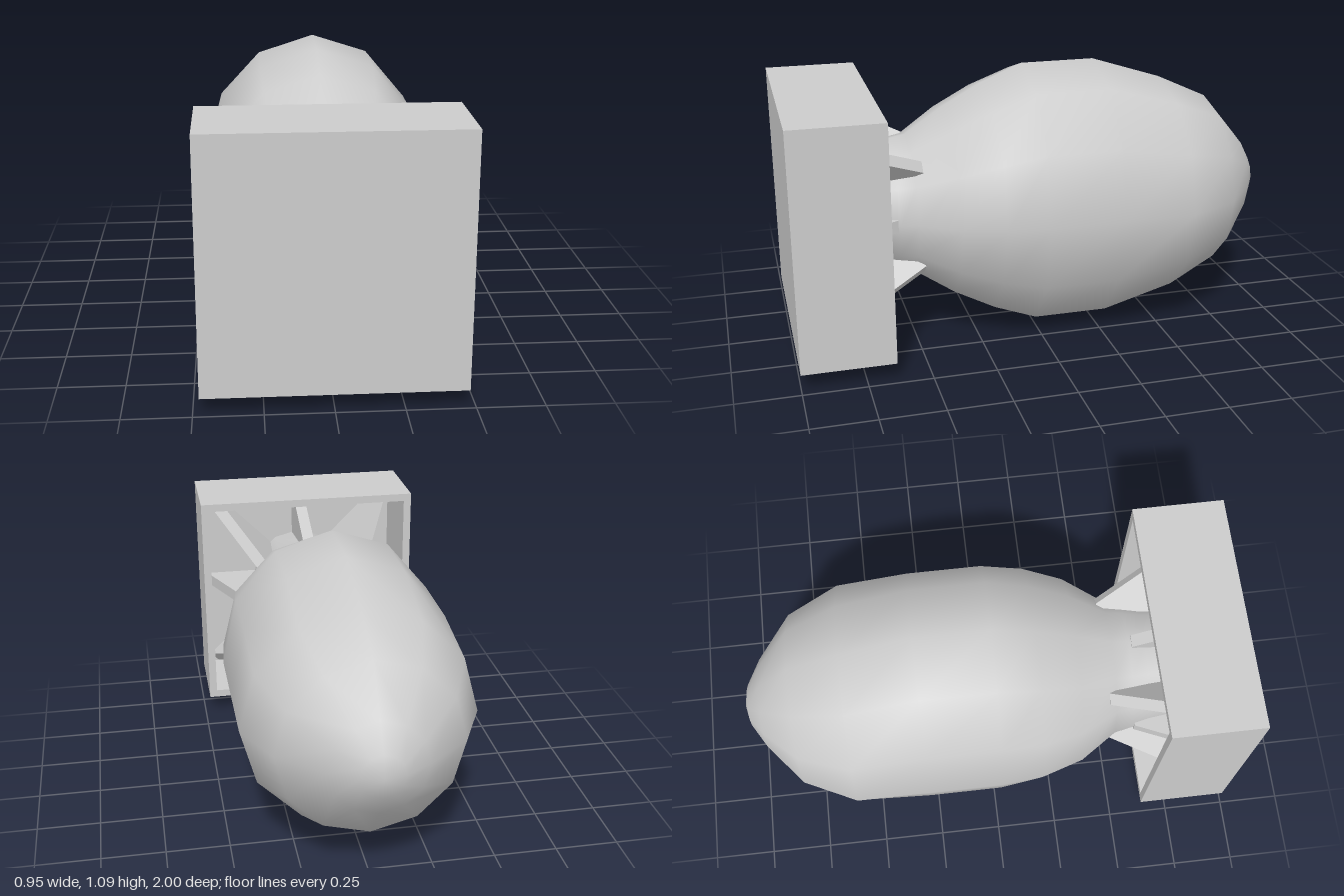
import * as THREE from 'three';
import { mergeVertices } from 'three/addons/utils/BufferGeometryUtils.js';

const CENTER_Y = 0.5475;

export function createModel() {
  const model = new THREE.Group();
  const material = new THREE.MeshStandardMaterial({ color: 0xcccccc });
  const add = (name, geometry, parent = model) => {
    const mesh = new THREE.Mesh(geometry, material);
    mesh.name = name;
    parent.add(mesh);
    return mesh;
  };

  // Body: 12-sided rings [z, half height, half width], nose to tail
  const rings = [
    [-1, 0, 0], [-0.98, 0.085, 0.085], [-0.92, 0.185, 0.185], [-0.78, 0.355, 0.355],
    [-0.57, 0.452, 0.455], [-0.28, 0.5455, 0.455], [0.02, 0.5455, 0.455],
    [0.19, 0.475, 0.438], [0.35, 0.387, 0.387], [0.5, 0.286, 0.286],
    [0.57, 0.272, 0.272], [0.64, 0.256, 0.256], [0.97, 0.215, 0.215],
  ];
  const lathe = new THREE.LatheGeometry(rings.map(([z, h]) => new THREE.Vector2(h, z)), 12);
  const pos = lathe.attributes.position;
  for (let i = 0; i < pos.count; i++) {
    const [, h, w] = rings[i % rings.length];
    if (h > 0) pos.setX(i, pos.getX(i) * w / h);
  }
  lathe.deleteAttribute('normal');
  lathe.deleteAttribute('uv');
  const body = mergeVertices(lathe, 1e-4);
  body.rotateX(Math.PI / 2);
  body.computeVertexNormals();
  add('body', body).position.y = CENTER_Y;

  // Square tail box, open toward the body
  const tailBox = new THREE.Group();
  tailBox.name = 'tailBox';
  tailBox.position.y = CENTER_Y;
  model.add(tailBox);
  const square = (path, s) => path.moveTo(-s, -s).lineTo(s, -s).lineTo(s, s).lineTo(-s, s).closePath();
  const frame = square(new THREE.Shape(), 0.476);
  frame.holes.push(square(new THREE.Path(), 0.443));
  add('tailFrame', new THREE.ExtrudeGeometry(frame, { depth: 0.332, bevelEnabled: false }), tailBox)
    .position.z = 0.635;
  add('tailPlate', new THREE.BoxGeometry(0.952, 0.952, 0.033), tailBox).position.z = 0.9835;

  // Fins: profiles of [radius, z], long ones on the diagonals, short ones between
  const finGeometry = (profile) => {
    const shape = new THREE.Shape(profile.map(([r, z]) => new THREE.Vector2(r, z)));
    const geometry = new THREE.ExtrudeGeometry(shape, { depth: 0.05, bevelEnabled: false });
    geometry.translate(0, 0, -0.025);
    geometry.rotateX(Math.PI / 2);
    return geometry;
  };
  const longFin = finGeometry([[0.15, 0.47], [0.3, 0.47], [0.6, 0.97], [0.15, 0.97]]);
  const shortFin = finGeometry([[0.15, 0.58], [0.273, 0.58], [0.44, 0.97], [0.15, 0.97]]);
  for (let i = 0; i < 8; i++) {
    const fin = add(i % 2 ? 'diagonalFin' : 'straightFin', i % 2 ? longFin : shortFin);
    fin.position.y = CENTER_Y;
    fin.rotation.z = i * Math.PI / 4;
  }
  return model;
}
